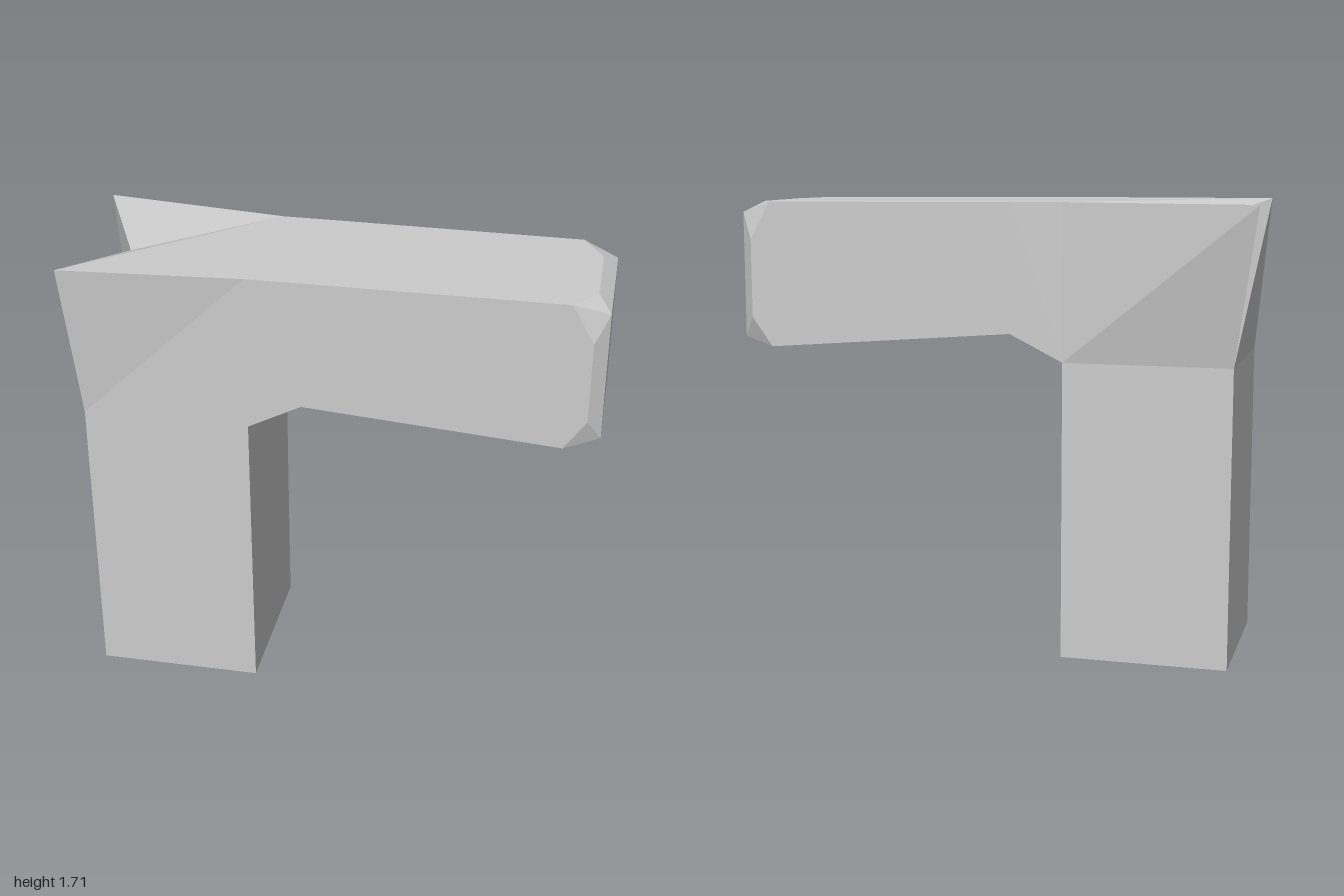
import * as THREE from 'three';

const material = new THREE.MeshStandardMaterial({ color: 0xcccccc, flatShading: true });

// Faceted part from polygons; every polygon is turned to face away from an inner point.
function faceted(name, inner, polygons) {
  const centre = new THREE.Vector3(...inner);
  const positions = [];
  for (const polygon of polygons) {
    const p = polygon.map((c) => new THREE.Vector3(...c));
    const normal = p[1].clone().sub(p[0]).cross(p[2].clone().sub(p[0]));
    if (normal.dot(p[0].clone().sub(centre)) < 0) p.reverse();
    for (let i = 1; i < p.length - 1; i++) {
      for (const v of [p[0], p[i], p[i + 1]]) positions.push(v.x, v.y, v.z);
    }
  }
  const geometry = new THREE.BufferGeometry();
  geometry.setAttribute('position', new THREE.Float32BufferAttribute(positions, 3));
  geometry.computeVertexNormals();
  const mesh = new THREE.Mesh(geometry, material);
  mesh.name = name;
  return mesh;
}

// Quads joining two rings of four corners.
const band = (a, b) => a.map((p, i) => {
  const j = (i + 1) % a.length;
  return [p, a[j], b[j], b[i]];
});

const X0 = -0.91, X1 = -0.28, Z0 = -0.295, Z1 = 0.34;
const SHOULDER = 1.125, TOP = 1.71;

const postRing = (y) => [[X0, y, Z0], [X1, y, Z0], [X1, y, Z1], [X0, y, Z1]];

// Upright square post, open where the head continues it
function makePost() {
  const foot = postRing(0);
  return faceted('post', [-0.6, 0.5, 0], [foot, ...band(foot, postRing(SHOULDER))]);
}

// Flared head with a V notch in its outer end
function makeHead() {
  const [lowBack, lowBackIn, lowFrontIn, lowFront] = postRing(SHOULDER);
  const backHorn = [-1, TOP, -0.4], frontHorn = [-0.96, TOP, 0.39], notch = [-0.8, 1.65, 0.01];
  const backIn = [X1, TOP, Z0], frontIn = [X1, TOP, Z1];
  return faceted('flaredHead', [-0.6, 1.35, 0], [
    [lowBack, lowBackIn, backIn, backHorn],
    [lowFront, lowFrontIn, frontIn, frontHorn],
    [frontHorn, frontIn, backIn],
    [frontHorn, backIn, notch],
    [backHorn, notch, backIn],
    [backHorn, notch, lowBack],
    [notch, frontHorn, lowBack],
    [frontHorn, lowFront, lowBack],
  ]);
}

// Horizontal arm with a chamfered tip
function makeArm() {
  const section = (x, y0, y1, z0, z1) => [[x, y0, z0], [x, y0, z1], [x, y1, z1], [x, y1, z0]];
  const root = section(X1, SHOULDER, TOP, Z0, Z1);
  const elbow = section(-0.08, 1.225, 1.709, -0.294, 0.338);
  const neck = section(0.87, 1.148, 1.702, -0.29, 0.328);
  // Same corner order as section: points on the upright sides, on top and bottom, and on the end
  const onSide = section(0.95, 1.26, 1.56, -0.29, 0.327);
  const onFlat = section(0.95, 1.14, 1.7, -0.14, 0.2);
  const end = section(1, 1.18, 1.66, -0.24, 0.285);
  const faces = [...band(root, elbow), ...band(elbow, neck), end];
  for (let i = 0; i < 4; i++) {
    const j = (i + 1) % 4;
    const edge = i % 2 === 0 ? onFlat : onSide;
    faces.push([neck[i], edge[i], edge[j], neck[j]]); // tapering end of each long side
    faces.push([edge[i], end[i], end[j], edge[j]]); // chamfer around the end
    faces.push([neck[i], onSide[i], end[i]], [neck[i], end[i], onFlat[i]]); // cut corner
  }
  return faceted('arm', [-0.1, 1.45, 0.02], faces);
}

export function createModel() {
  const group = new THREE.Group();
  group.name = 'bracket';
  group.add(makePost(), makeHead(), makeArm());
  return group;
}
